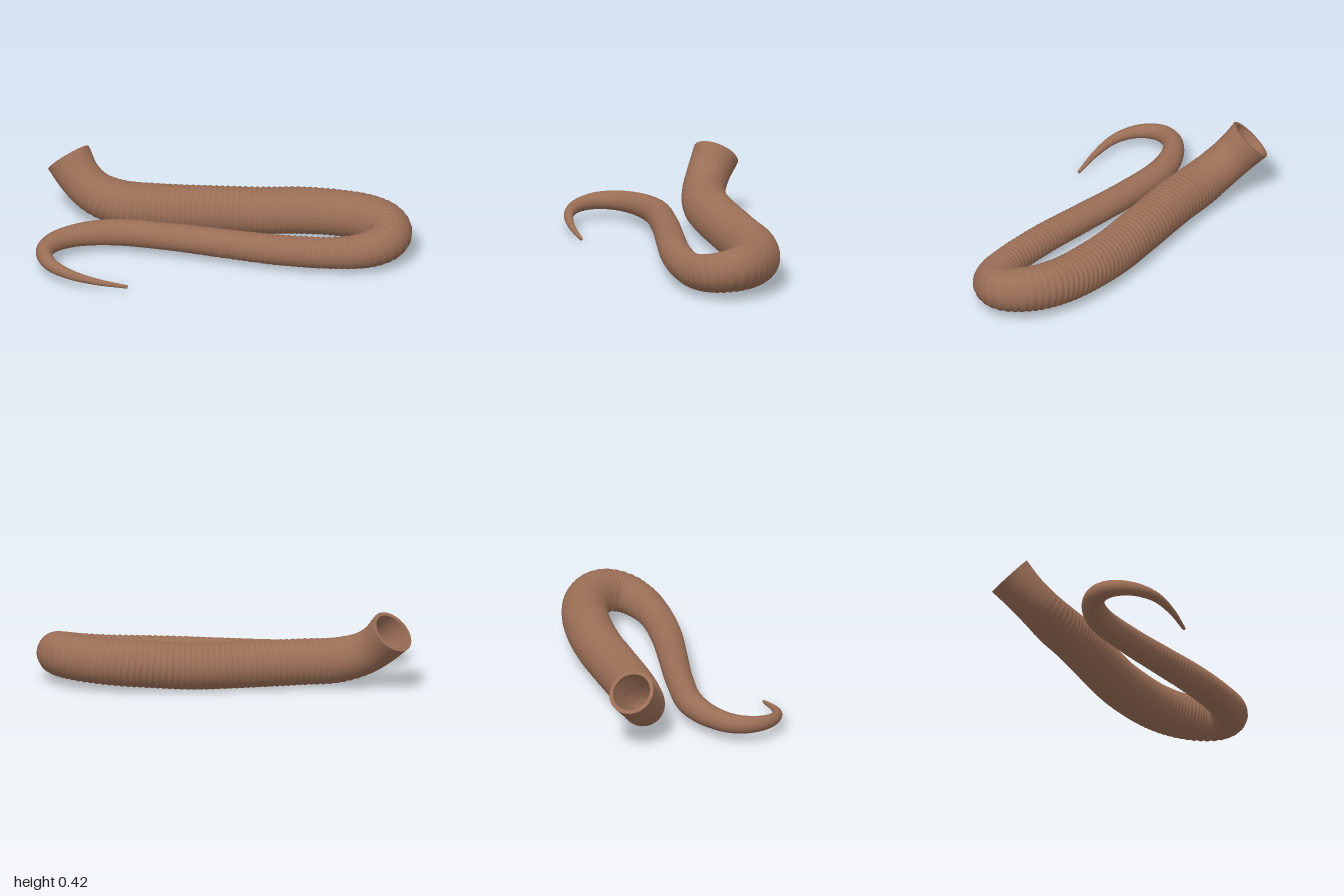
import * as THREE from 'three';

// Spine of the trunk from the open end to the tip: x, y, z, radius
const SPINE = [
  [-0.845, 0.33, -0.385, 0.124], [-0.785, 0.25, -0.325, 0.114], [-0.7, 0.185, -0.272, 0.114],
  [-0.57, 0.146, -0.235, 0.12], [-0.38, 0.137, -0.213, 0.122], [0, 0.13, -0.202, 0.124],
  [0.2, 0.13, -0.197, 0.124], [0.4, 0.142, -0.183, 0.124], [0.6, 0.15, -0.145, 0.122],
  [0.75, 0.158, -0.085, 0.12], [0.845, 0.16, 0, 0.118], [0.875, 0.153, 0.085, 0.113],
  [0.84, 0.138, 0.165, 0.104], [0.74, 0.122, 0.218, 0.094], [0.58, 0.113, 0.235, 0.084],
  [0.3, 0.109, 0.205, 0.081], [0, 0.109, 0.14, 0.077], [-0.3, 0.11, 0.073, 0.073],
  [-0.6, 0.11, 0.033, 0.07], [-0.8, 0.108, 0.075, 0.06], [-0.915, 0.104, 0.155, 0.052],
  [-0.953, 0.1, 0.25, 0.045], [-0.92, 0.09, 0.36, 0.036], [-0.82, 0.074, 0.44, 0.027],
  [-0.68, 0.048, 0.472, 0.018], [-0.505, 0.018, 0.474, 0.009],
];
const STEPS = 900;
const SIDES = 40;

const spine = new THREE.CatmullRomCurve3(SPINE.map(p => new THREE.Vector3(p[0], p[1], p[2])));
spine.arcLengthDivisions = 1000;
const radii = new THREE.CatmullRomCurve3(SPINE.map((p, i) => new THREE.Vector3(i, p[3], 0)), false, 'catmullrom');

// Skin a list of rings { step, radius(angle) } placed along the spine
function sweep(rings, frames) {
  const pos = [], index = [], p = new THREE.Vector3();
  rings.forEach(({ step, radius }, i) => {
    const centre = spine.getPointAt(step / STEPS);
    for (let j = 0; j < SIDES; j++) {
      const a = j / SIDES * Math.PI * 2, r = radius(a);
      p.copy(centre)
        .addScaledVector(frames.normals[step], Math.cos(a) * r)
        .addScaledVector(frames.binormals[step], Math.sin(a) * r);
      pos.push(p.x, p.y, p.z);
      if (i === 0) continue;
      const k = (j + 1) % SIDES, lo = (i - 1) * SIDES, hi = i * SIDES;
      index.push(lo + j, lo + k, hi + j, lo + k, hi + k, hi + j);
    }
  });
  const geometry = new THREE.BufferGeometry();
  geometry.setAttribute('position', new THREE.Float32BufferAttribute(pos, 3));
  geometry.setIndex(index);
  geometry.computeVertexNormals();
  return geometry;
}

export function createModel() {
  const group = new THREE.Group();
  const skin = new THREE.MeshStandardMaterial({ color: 0x9a6e56 });
  skin.name = 'brown skin';
  const frames = spine.computeFrenetFrames(STEPS, false);
  const length = spine.getLength();
  const baseRadius = step => radii.getPoint(spine.getUtoTmapping(step / STEPS)).y;
  const add = (name, rings) => {
    const mesh = new THREE.Mesh(sweep(rings, frames), skin);
    mesh.name = name;
    group.add(mesh);
  };

  // Outer skin with fine ring wrinkles that fade at the mouth and towards the tail
  const body = [];
  for (let step = 0; step <= STEPS; step++) {
    const s = step / STEPS * length, r = baseRadius(step);
    const fade = THREE.MathUtils.smoothstep(s, 0.1, 0.5) * (1 - THREE.MathUtils.smoothstep(s, 2.2, 3.4));
    const radius = a => {
      const phase = s * 200 + 0.9 * Math.sin(a * 2 + s * 5) + 0.5 * Math.sin(a * 3 - s * 9);
      return r + 0.0028 * fade * Math.sin(phase) * (0.75 + 0.25 * Math.sin(a + s * 4));
    };
    body.push({ step, radius });
  }
  // Rounded point
  body.push({ step: STEPS, radius: () => 0.005 }, { step: STEPS, radius: () => 0 });
  add('body', body);

  // Flat lip around the open end
  const mouth = baseRadius(0);
  add('lip', [mouth - 0.021, mouth].map(r => ({ step: 0, radius: () => r })));

  // Hollow inside the open end, narrowing to a closed bottom
  const bore = [];
  const depth = 50;
  for (let step = depth; step >= 0; step -= 2) {
    const r = (mouth - 0.021) * Math.sqrt(1 - (step / depth) ** 2);
    bore.push({ step, radius: () => r });
  }
  add('hollow', bore);
  return group;
}
